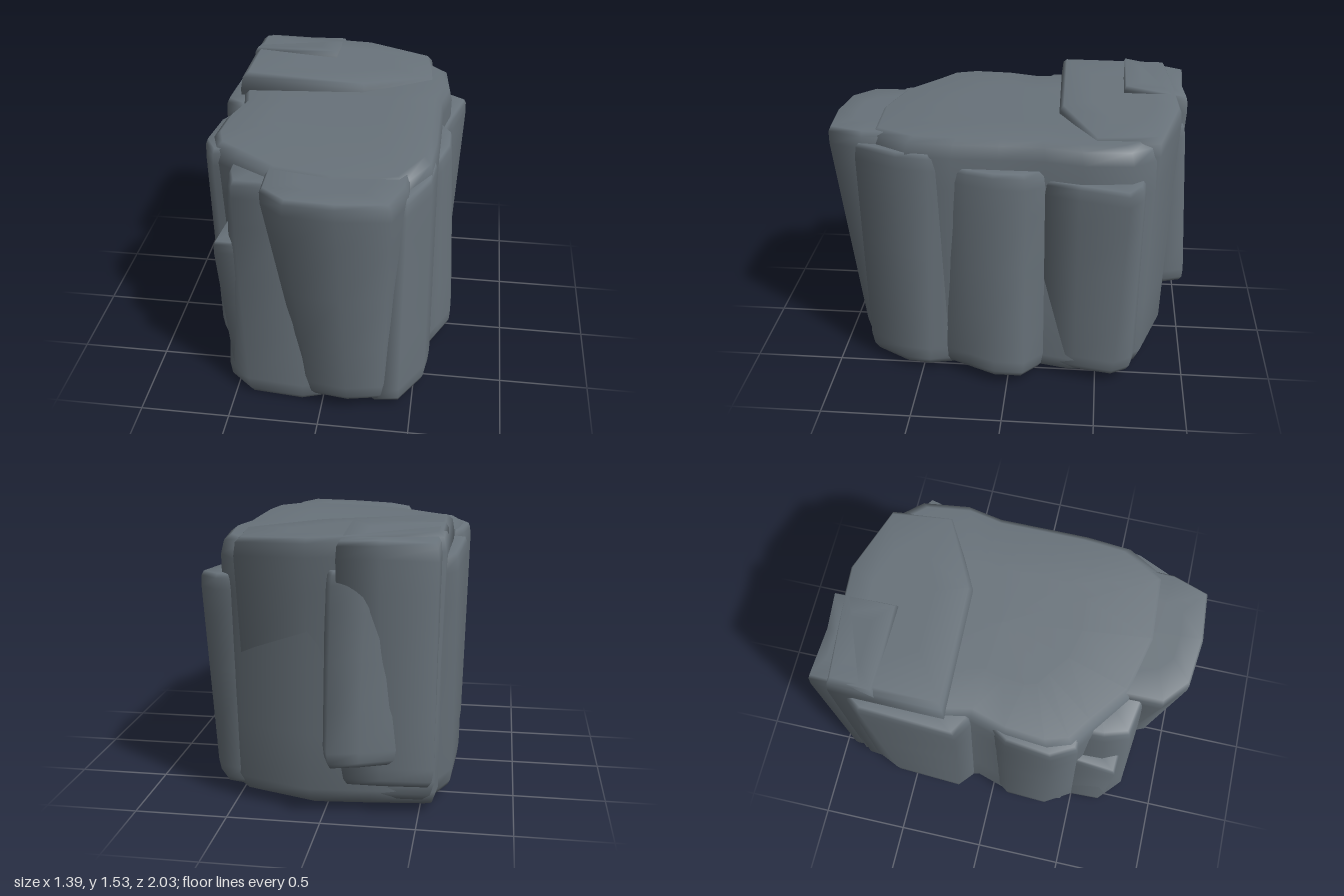
import * as THREE from 'three';

const rock = new THREE.MeshStandardMaterial({ color: 0x69737b });
rock.name = 'slate grey rock';

// Vertical profile of a weathered block: [height fraction, outline scale]
const PROFILE = [[0, 0], [0, 0.5], [0, 0.88], [0.025, 0.96], [0.08, 1], [0.3, 1], [0.55, 1],
  [0.8, 1], [0.93, 1], [0.98, 0.975], [1, 0.92], [1, 0.5], [1, 0]];

// Smooth block lofted from a bottom outline to a top outline ([x, z] points, same count)
function block(name, bottom, top, y0, yTop) {
  const n = top.length;
  const centre = (pts) => [0, 1].map((k) => pts.reduce((s, p) => s + p[k], 0) / n);
  const cb = centre(bottom), ct = centre(top);
  const pos = [], index = [];
  PROFILE.forEach(([t, s]) => {
    for (let i = 0; i < n; i++) {
      const [x, z] = [0, 1].map((k) => {
        const lo = cb[k] + (bottom[i][k] - cb[k]) * s;
        const hi = ct[k] + (top[i][k] - ct[k]) * s;
        return lo + (hi - lo) * t;
      });
      pos.push(x, y0 + (yTop(x, z) - y0) * t, z);
    }
  });
  for (let r = 0; r < PROFILE.length - 1; r++) {
    for (let i = 0; i < n; i++) {
      const j = (i + 1) % n;
      const a = r * n + i, b = r * n + j, c = a + n, d = b + n;
      if (r > 0) index.push(a, c, b);
      if (r < PROFILE.length - 2) index.push(b, c, d);
    }
  }
  // Close the collapsed end rings
  for (let i = 0; i < n; i++) {
    const last = (PROFILE.length - 2) * n;
    index.push(0, n + i, n + ((i + 1) % n));
    index.push(last + i, last + n, last + ((i + 1) % n));
  }
  // Drop the doubled triangles of the end rings
  const tris = [];
  const seen = (v) => v < n || v >= (PROFILE.length - 1) * n;
  for (let k = 0; k < index.length; k += 3) {
    const f = index.slice(k, k + 3).map((v) => (v < n ? 0 : v >= (PROFILE.length - 1) * n ? (PROFILE.length - 1) * n : v));
    if (f.filter(seen).length > 1) continue;
    const key = f.join();
    if (!tris.some((q) => q.join() === key)) tris.push(f);
  }
  const geo = new THREE.BufferGeometry();
  geo.setAttribute('position', new THREE.Float32BufferAttribute(pos, 3));
  geo.setIndex(tris.flat());
  geo.computeVertexNormals();
  const mesh = new THREE.Mesh(geo, rock);
  mesh.name = name;
  return mesh;
}

export function createModel() {
  const group = new THREE.Group();
  group.name = 'boulder';
  const add = (...args) => group.add(block(...args));

  // Main mass
  const core = [[-0.6, -0.85], [-0.25, -0.89], [0.08, -0.92], [0.47, -0.79], [0.58, -0.66], [0.61, -0.4],
    [0.57, -0.2], [0.57, 0.05], [0.57, 0.3], [0.55, 0.55], [0.42, 0.78], [0.05, 0.8], [-0.28, 0.72],
    [-0.5, 0.55], [-0.63, 0.46], [-0.67, 0.33], [-0.65, 0.1], [-0.59, -0.1], [-0.63, -0.3], [-0.62, -0.65]];
  const coreFoot = core.map(([x, z]) => [x * 0.98, z * 0.95]);
  add('mainMass', coreFoot, core, 0.02, (x, z) => 1.44 + 0.03 * x - 0.02 * z * z);

  // Front wedge, narrowing downward
  add('frontWedge',
    [[0.36, 0.3], [0.38, 0.65], [0.34, 0.85], [0.15, 0.89], [-0.06, 0.86], [-0.1, 0.75], [-0.12, 0.3]],
    [[0.46, 0.3], [0.45, 0.8], [0.38, 1], [0.1, 1.02], [-0.17, 0.99], [-0.31, 0.87], [-0.32, 0.3]],
    0.08, (x) => 1.42 + 0.03 * x);

  // Front right shoulder and its low foot
  add('frontRightShoulder',
    [[0.1, 0.1], [0.1, 0.76], [-0.1, 0.83], [-0.42, 0.8], [-0.56, 0.68], [-0.58, 0.1]],
    [[0.1, 0.1], [0.1, 0.76], [-0.2, 0.78], [-0.48, 0.73], [-0.52, 0.6], [-0.54, 0.1]],
    0, (x) => 1.4 + 0.1 * x);
  add('frontRightFoot',
    [[-0.2, 0.2], [-0.2, 0.72], [-0.38, 0.74], [-0.52, 0.7], [-0.55, 0.5], [-0.56, 0.2]],
    [[-0.2, 0.2], [-0.2, 0.71], [-0.4, 0.72], [-0.6, 0.71], [-0.58, 0.5], [-0.58, 0.2]],
    0.06, () => 0.96);

  // Front left edge
  add('frontLeftEdge',
    [[0.5, 0.1], [0.58, 0.45], [0.56, 0.6], [0.43, 0.82], [0.28, 0.84], [0.1, 0.3]],
    [[0.5, 0.1], [0.57, 0.42], [0.55, 0.6], [0.44, 0.84], [0.3, 0.86], [0.1, 0.3]],
    0.04, () => 1.37);

  // Right side bulges
  add('rightFrontBulge',
    [[-0.2, -0.05], [-0.2, 0.48], [-0.58, 0.5], [-0.67, 0.35], [-0.66, 0.1], [-0.55, -0.05]],
    [[-0.2, -0.05], [-0.2, 0.5], [-0.63, 0.48], [-0.7, 0.35], [-0.67, 0.1], [-0.58, -0.05]],
    0.08, (x) => 1.43 + 0.06 * x);
  add('rightBackBulge',
    [[-0.2, -0.8], [-0.2, -0.1], [-0.6, -0.13], [-0.68, -0.2], [-0.66, -0.6], [-0.58, -0.78]],
    [[-0.2, -0.8], [-0.2, -0.1], [-0.6, -0.1], [-0.7, -0.16], [-0.67, -0.7], [-0.6, -0.8]],
    0.08, () => 1.39);

  // Left side bulges
  add('leftMiddleBulge',
    [[0.58, -0.2], [0.69, -0.1], [0.69, 0.07], [0.62, 0.22], [0.5, 0.48], [0.2, 0.3], [0.2, -0.2]],
    [[0.57, -0.2], [0.63, -0.1], [0.63, 0.07], [0.59, 0.22], [0.5, 0.45], [0.2, 0.3], [0.2, -0.2]],
    0.06, () => 1.3);
  add('leftBackBulge',
    [[0.46, -0.73], [0.58, -0.7], [0.64, -0.6], [0.6, -0.38], [0.55, -0.2], [0.2, -0.2], [0.2, -0.7]],
    [[0.46, -0.74], [0.6, -0.72], [0.7, -0.65], [0.63, -0.38], [0.58, -0.2], [0.2, -0.2], [0.2, -0.7]],
    0.07, () => 1.25);

  // Raised back block, its top falling toward the left
  add('backBlock',
    [[-0.58, -0.83], [-0.2, -0.85], [0.08, -0.86], [0.42, -0.75], [0.48, -0.45], [0.1, -0.25], [-0.57, -0.25]],
    [[-0.62, -0.86], [-0.2, -0.91], [0.08, -0.93], [0.48, -0.8], [0.52, -0.45], [0.1, -0.24], [-0.63, -0.23]],
    0.08, (x) => 1.49 - 0.06 * x);

  // Thin slabs on the back face
  add('backUpperSlab',
    [[-0.58, -0.88], [-0.3, -0.9], [-0.1, -0.9], [-0.1, -0.6], [-0.55, -0.6]],
    [[-0.59, -0.97], [-0.3, -0.95], [-0.08, -0.97], [-0.1, -0.6], [-0.62, -0.6]],
    0.18, (x, z) => 1.5 + 0.15 * (z + 0.85));
  add('backLowerSlab',
    [[-0.4, -0.9], [-0.2, -0.98], [-0.04, -1.02], [0, -0.9], [0, -0.6], [-0.4, -0.6]],
    [[-0.4, -0.9], [-0.22, -0.94], [-0.06, -0.96], [-0.02, -0.9], [0, -0.6], [-0.4, -0.6]],
    0.31, () => 1.33);

  return group;
}
